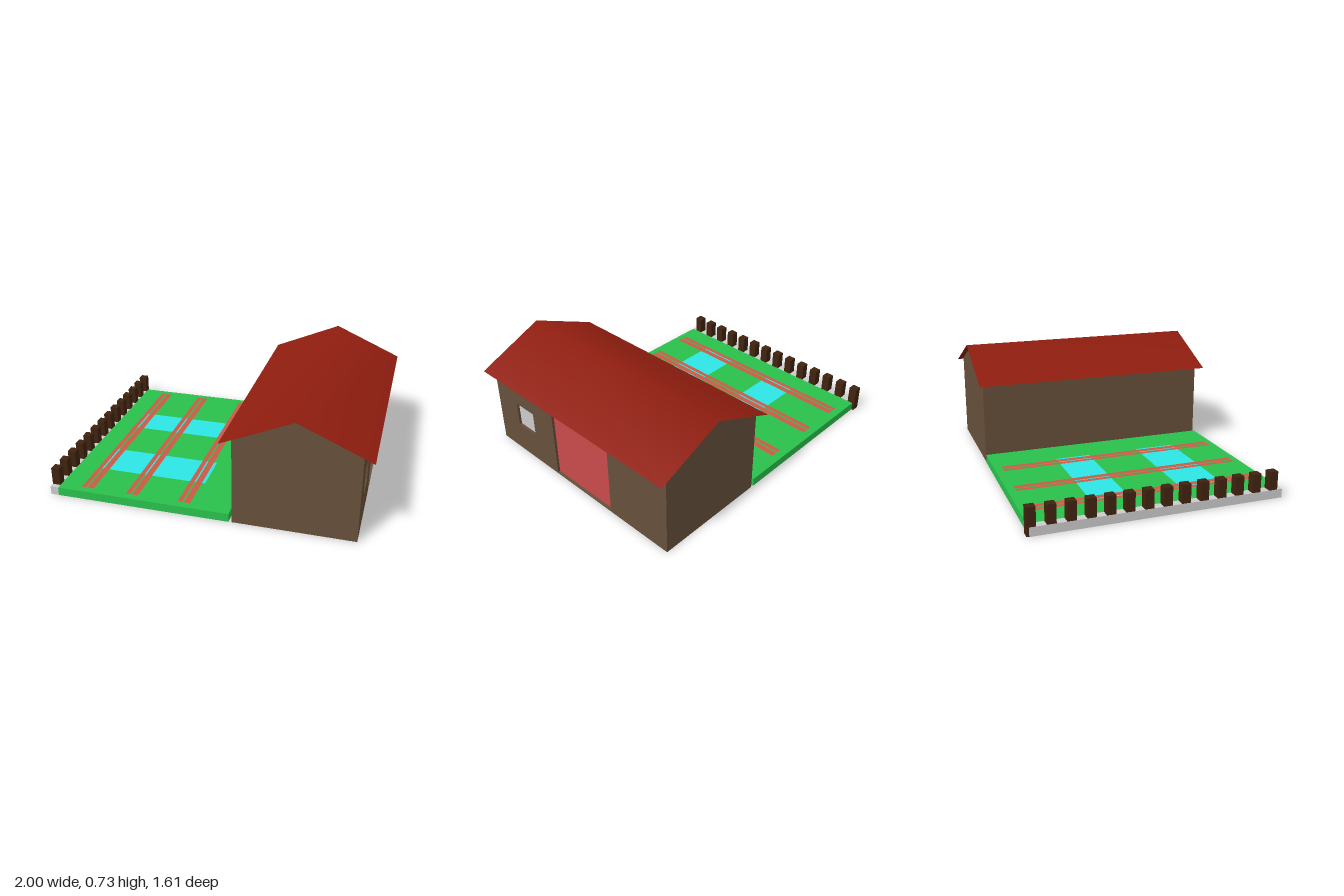
import * as THREE from 'three';

const mat = (color, side = THREE.FrontSide) => new THREE.MeshStandardMaterial({ color, side });
const BROWN = mat(0x67503a), GREEN = mat(0x2ac04c), GREY = mat(0xcccccc), POST = mat(0x40230f);
const DOOR = mat(0xc94a4a), ROOF = mat(0x8f1d0f, THREE.DoubleSide);
const WATER = mat(0x2ce6e6), RAIL = mat(0xc85a46);

function add(parent, name, geometry, material) {
  const mesh = new THREE.Mesh(geometry, material);
  mesh.name = name;
  parent.add(mesh);
  return mesh;
}

// Box given by its limits on each axis
function box(parent, name, [x0, x1], [y0, y1], [z0, z1], material) {
  const mesh = add(parent, name, new THREE.BoxGeometry(x1 - x0, y1 - y0, z1 - z0), material);
  mesh.position.set((x0 + x1) / 2, (y0 + y1) / 2, (z0 + z1) / 2);
}

// Flat patch lying on the lawn
function patch(parent, name, [x0, x1], [z0, z1], y, material) {
  const mesh = add(parent, name, new THREE.PlaneGeometry(x1 - x0, z1 - z0), material);
  mesh.rotation.x = -Math.PI / 2;
  mesh.position.set((x0 + x1) / 2, y, (z0 + z1) / 2);
}

// Upright panel facing +x
function panel(parent, name, x, [y0, y1], [z0, z1], material) {
  const mesh = add(parent, name, new THREE.PlaneGeometry(z1 - z0, y1 - y0), material);
  mesh.rotation.y = Math.PI / 2;
  mesh.position.set(x, (y0 + y1) / 2, (z0 + z1) / 2);
}

const rectPoints = ([a0, a1], [b0, b1]) =>
  [[a0, b0], [a1, b0], [a1, b1], [a0, b1]].map(p => new THREE.Vector2(...p));

function createHouse() {
  const house = new THREE.Group();
  house.name = 'house';
  const halfZ = 0.773, recess = 0.018, wallX = 0.94, innerX = wallX - recess;
  const door = { y: [0.01, 0.555], z: [-0.3, 0.205] };
  const win = { y: [0.2, 0.365], z: [0.405, 0.575] };

  // Gabled body
  const gable = new THREE.Shape([[0.19, 0], [innerX, 0], [innerX, 0.572], [0.565, 0.728], [0.19, 0.563]]
    .map(p => new THREE.Vector2(...p)));
  const body = new THREE.ExtrudeGeometry(gable, { depth: halfZ * 2, bevelEnabled: false });
  body.translate(0, 0, -halfZ);
  add(house, 'body', body, BROWN);

  // Outer wall with openings; shape x runs along -z
  const flip = ([z0, z1]) => [-z1, -z0];
  const wall = new THREE.Shape(rectPoints([-halfZ, halfZ], [0, 0.563]));
  for (const o of [door, win]) wall.holes.push(new THREE.Path(rectPoints(flip(o.z), o.y)));
  const wallGeo = new THREE.ExtrudeGeometry(wall, { depth: recess, bevelEnabled: false });
  wallGeo.rotateY(Math.PI / 2);
  wallGeo.translate(innerX, 0, 0);
  add(house, 'entranceWall', wallGeo, BROWN);

  panel(house, 'door', innerX + 0.002, door.y, door.z, DOOR);
  panel(house, 'window', innerX + 0.002, win.y, win.z, GREY);

  // Thin roof, smooth across the ridge
  const roof = new THREE.PlaneGeometry(0.886, 1.61, 2, 1);
  roof.rotateX(-Math.PI / 2);
  const pos = roof.attributes.position;
  for (let i = 0; i < pos.count; i++) pos.setY(i, 0.733 - 0.435 * Math.abs(pos.getX(i)));
  roof.translate(0.557 , 0, 0);
  roof.computeVertexNormals();
  add(house, 'roof', roof, ROOF).position.x = 0.004;
  return house;
}

function createYard() {
  const yard = new THREE.Group();
  yard.name = 'yard';
  box(yard, 'lawn', [-0.947, 0.172], [0, 0.055], [-0.775, 0.775], GREEN);

  // Pools
  for (const z of [[-0.355, -0.125], [0.215, 0.485]])
    patch(yard, 'pool', [-0.78, -0.065], z, 0.0565, WATER);

  // Paired rails
  for (const x of [-0.805, -0.505, -0.165]) {
    patch(yard, 'rail', [x, x + 0.03], [-0.725, 0.73], 0.058, RAIL);
    patch(yard, 'rail', [x + 0.04, x + 0.08], [-0.725, 0.73], 0.058, RAIL);
  }
  return yard;
}

function createFence() {
  const fence = new THREE.Group();
  fence.name = 'fence';
  box(fence, 'fenceBase', [-1, -0.947], [0, 0.055], [-0.775, 0.775], GREY);
  const count = 14;
  for (let i = 0; i < count; i++) {
    const z = -0.763 + (i * 1.478) / (count - 1);
    box(fence, 'fencePost', [-0.9995, -0.9475], [0.001, 0.17], [z - 0.027, z + 0.027], POST);
  }
  return fence;
}

export function createModel() {
  const model = new THREE.Group();
  model.name = 'houseWithYard';
  model.add(createHouse(), createYard(), createFence());
  return model;
}
